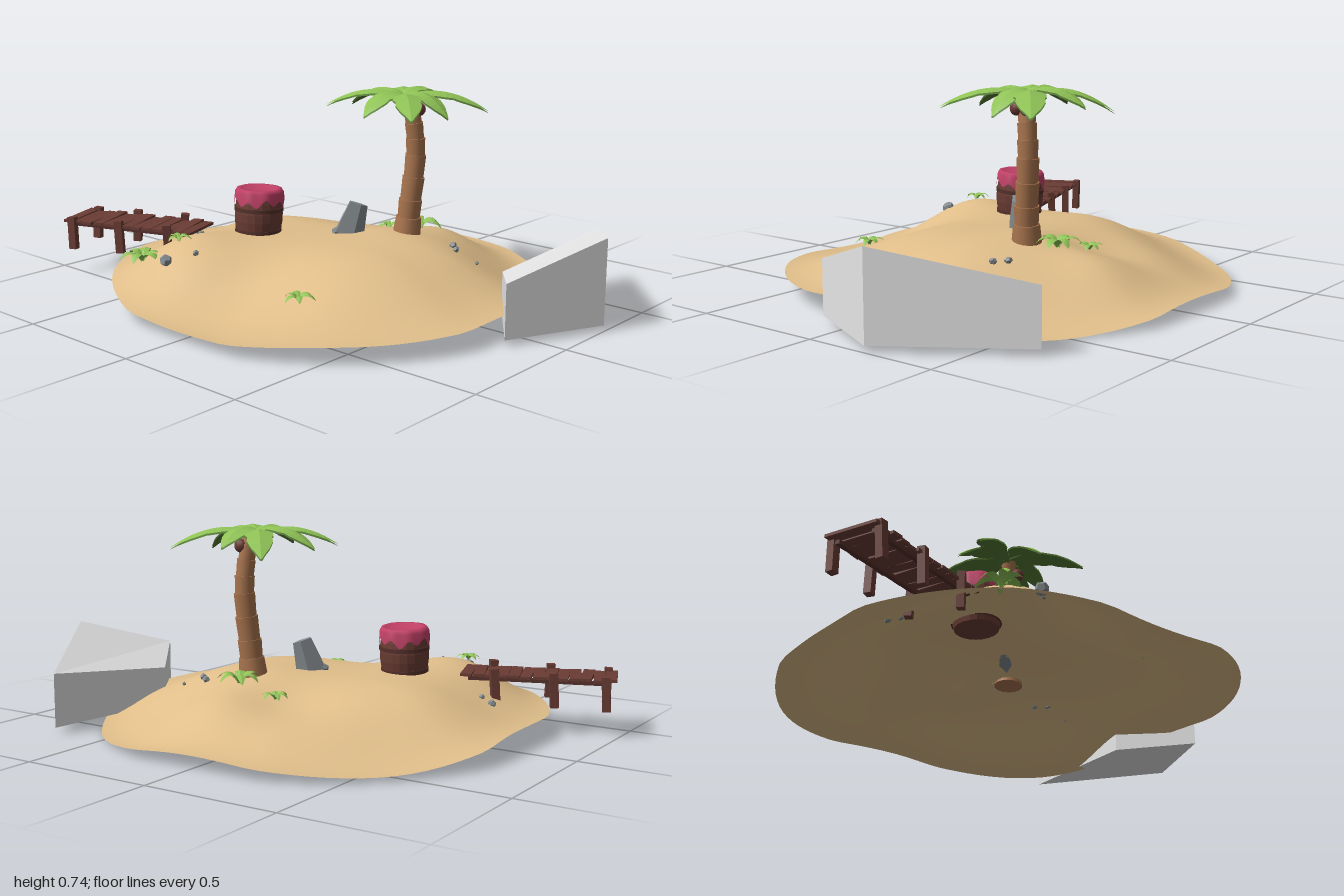
import * as THREE from 'three';
import { mergeVertices } from 'three/addons/utils/BufferGeometryUtils.js';

const mat = (name, color, side = THREE.FrontSide) => {
  const m = new THREE.MeshStandardMaterial({ color, side });
  m.name = name;
  return m;
};

// Give a geometry hard facets
function faceted(geo) {
  const g = geo.index ? geo.toNonIndexed() : geo;
  g.computeVertexNormals();
  return g;
}

// Surface from a grid of points, fn(row, column) in 0..1
function grid(rows, cols, fn) {
  const pos = [], idx = [];
  for (let i = 0; i <= rows; i++)
    for (let j = 0; j <= cols; j++) pos.push(...fn(i / rows, j / cols));
  for (let i = 0; i < rows; i++)
    for (let j = 0; j < cols; j++) {
      const a = i * (cols + 1) + j, c = a + cols + 1;
      idx.push(a, a + 1, c, a + 1, c + 1, c);
    }
  let g = new THREE.BufferGeometry();
  g.setAttribute('position', new THREE.Float32BufferAttribute(pos, 3));
  g.setIndex(idx);
  g = mergeVertices(g, 1e-5);
  g.computeVertexNormals();
  return g;
}

// Shape of the sand: rim height by direction, a broad dome, and soft bumps (x, z, height, spread)
const RIM = [0.05, 0.003, 0.078, 0.066, 0.036, 0.08, 0.08, 0.02];
const BUMPS = [[-0.47, -0.37, 0.085, 0.16], [0.06, -0.5, 0.025, 0.14], [-0.52, 0.1, -0.045, 0.17],
  [-0.15, 0.3, 0.012, 0.16], [0.2, 0.36, 0.014, 0.13], [0.18, 0.1, 0.012, 0.1],
  [0.36, -0.1, -0.042, 0.12], [0.52, 0.12, 0.03, 0.11]];
const rimRadius = (a) => Math.min(0.82, 0.785 / Math.max(Math.abs(Math.cos(a)), Math.abs(Math.sin(a))));
function sandHeight(x, z) {
  const a = (Math.atan2(z, x) + Math.PI * 2) % (Math.PI * 2);
  const k = a / (Math.PI / 4), i = Math.floor(k), f = (1 - Math.cos((k - i) * Math.PI)) / 2;
  const rim = RIM[i % 8] * (1 - f) + RIM[(i + 1) % 8] * f;
  const t = Math.min(1, Math.hypot(x, z) / rimRadius(a));
  let y = rim + (0.207 - rim) * (0.5 + 0.5 * Math.cos(Math.PI * t ** 1.7));
  for (const [bx, bz, h, s] of BUMPS)
    y += h * (1 - t ** 6) * Math.exp(-((x - bx) ** 2 + (z - bz) ** 2) / (2 * s * s));
  return y;
}

// Broad leaf growing along +x, gently folded along its midrib, with notched edges
function leafGeometry(len, width, rise, droop, notch, drop = 0) {
  return faceted(grid(12, 2, (u, v) => {
    const side = v * 2 - 1;
    const cut = Math.round(u * 12) % 4 === 3 ? 1 - notch : 1;
    const w = width * Math.sin(Math.PI * (0.1 + 0.89 * u ** 1.15)) ** 0.8 * cut;
    return [u * len, rise * u - droop * u * u - Math.abs(side) * w * 0.22 - drop, side * w];
  }));
}

export function createModel() {
  const root = new THREE.Group();
  const sand = mat('sand', 0xe0be8a, THREE.DoubleSide);
  const leafTop = mat('leaf green', 0x8fc256, THREE.DoubleSide);
  const leafUnder = mat('leaf underside green', 0x557a36, THREE.DoubleSide);
  const bark = mat('bark', 0xa8744e);
  const wood = mat('red brown wood', 0x6a3c34);
  const darkWood = mat('dark wood', 0x54302a);
  const cloth = mat('pink cloth', 0xc04066, THREE.DoubleSide);
  const stone = mat('stone', 0x868d90);
  const pale = mat('pale grey', 0xe6e6e6);

  const add = (parent, name, geo, material, x = 0, y = 0, z = 0) => {
    const m = new THREE.Mesh(geo, material);
    m.name = name;
    m.position.set(x, y, z);
    parent.add(m);
    return m;
  };
  const group = (name, x, y, z) => {
    const g = new THREE.Group();
    g.name = name;
    g.position.set(x, y, z);
    root.add(g);
    return g;
  };

  // Island sheet
  add(root, 'island', grid(32, 96, (u, v) => {
    const a = v * Math.PI * 2, r = u * rimRadius(a);
    const x = r * Math.cos(a), z = r * Math.sin(a);
    return [x, sandHeight(x, z), z - 0.006];
  }), sand);

  // Wedge block with a sloping top; corners are x, z, top height
  const corners = { '-1,1': [-0.11, 0.835, 0.217], '1,1': [0.235, 1.0, 0.33],
    '1,-1': [0.678, 0.705, 0.222], '-1,-1': [0.14, 0.65, 0.165] };
  const block = new THREE.BoxGeometry(2, 2, 2);
  const bp = block.attributes.position;
  for (let i = 0; i < bp.count; i++) {
    const [x, z, top] = corners[`${bp.getX(i)},${bp.getZ(i)}`];
    bp.setXYZ(i, x, bp.getY(i) > 0 ? top : 0.025, z);
  }
  add(root, 'block', faceted(block), pale);

  // Palm trunk: stacked segments that flare slightly at their tops
  const palm = group('palmTree', 0, 0, 0);
  const spine = new THREE.CatmullRomCurve3([[0.215, 0.2, 0.165], [0.222, 0.33, 0.175],
    [0.236, 0.5, 0.186], [0.228, 0.62, 0.182], [0.213, 0.725, 0.165]].map((p) => new THREE.Vector3(...p)));
  const SEG = 8, up = new THREE.Vector3(0, 1, 0);
  for (let i = 0; i < SEG; i++) {
    const a = spine.getPoint(i / SEG), b = spine.getPoint((i + 1) / SEG), d = b.clone().sub(a);
    const r = 0.047 - 0.018 * (i / (SEG - 1));
    const s = add(palm, 'trunkSegment', new THREE.CylinderGeometry(r, r * (i ? 0.94 : 1.15), d.length() + 0.006, 14), bark);
    s.position.copy(a.add(b).multiplyScalar(0.5));
    s.quaternion.setFromUnitVectors(up, d.normalize());
  }

  // Palm crown: tip x, tip z, half width
  const tips = [[0.06, -0.1, 0.048], [0.2, -0.095, 0.048], [0.44, -0.04, 0.05], [0.435, 0.13, 0.046],
    [0.4, 0.39, 0.056], [0.21, 0.35, 0.05], [-0.012, 0.36, 0.052], [-0.012, 0.145, 0.048]];
  tips.forEach(([x, z, w], i) => {
    const dx = x - 0.21, dz = z - 0.145, len = Math.hypot(dx, dz);
    const droop = 0.152 + 0.012 * (i % 3);
    for (const [name, m, drop] of [['palmLeaf', leafTop, 0], ['palmLeafUnderside', leafUnder, 0.007]]) {
      const l = add(palm, name, leafGeometry(len, w, 0.11, droop, 0.13, drop), m, 0.21, 0.722 + 0.004 * (i % 2), 0.145);
      l.rotation.y = Math.atan2(-dz, dx);
    }
  });
  for (const x of [0.195, 0.238])
    add(palm, 'coconut', new THREE.SphereGeometry(0.026, 14, 10), wood, x, 0.672, 0.195);

  // Small ground plants: x, z, radius
  for (const [x, z, r] of [[-0.54, -0.465, 0.088], [-0.445, -0.37, 0.05], [-0.465, 0.25, 0.06],
    [0.35, -0.03, 0.055], [0.33, 0.14, 0.088]]) {
    const plant = group('groundPlant', x, sandHeight(x, z) + 0.006, z);
    for (let i = 0; i < 6; i++) {
      const l = add(plant, 'plantLeaf', leafGeometry(r * (i % 2 ? 1 : 0.88), r * 0.2, r * 1.6, r * 1.5, 0), leafTop);
      l.rotation.y = i * Math.PI / 3 + x * 5 + 0.15 * (i % 2);
    }
  }

  // Stones: x, z, radius
  for (const [x, z, r] of [[-0.14, -0.62, 0.016], [-0.15, -0.575, 0.012], [-0.555, -0.315, 0.025],
    [-0.48, -0.24, 0.012], [0.235, 0.38, 0.014], [0.27, 0.34, 0.015], [0.24, 0.47, 0.008], [0.02, -0.015, 0.018]]) {
    const s = add(root, 'smallStone', new THREE.DodecahedronGeometry(r), stone, x, sandHeight(x, z) + r * 0.4, z);
    s.rotation.set(x * 9, z * 7, 0.4);
    s.scale.y = 0.85;
  }

  // Leaning slab of rock, broad along the diagonal
  const slab = add(root, 'standingRock', faceted(new THREE.CylinderGeometry(0.036, 0.058, 0.125, 5)), stone, 0.062, 0.262, 0.03);
  slab.scale.set(0.42, 1, 1.05);
  slab.rotation.set(0.3, 0.785, 0, 'YXZ');

  // Barrel with hoops
  const barrel = group('barrel', -0.145, 0.19, -0.262);
  barrel.rotation.z = -0.05;
  const profile = [[0, -0.004], [0.078, -0.004], [0.084, 0.02], [0.09, 0.06], [0.091, 0.09], [0.087, 0.13], [0.08, 0.165], [0, 0.165]];
  add(barrel, 'barrelBody', faceted(new THREE.LatheGeometry(profile.map((p) => new THREE.Vector2(...p)), 20)), wood);
  for (const [y, r] of [[0.022, 0.085], [0.105, 0.09]])
    add(barrel, 'barrelHoop', new THREE.CylinderGeometry(r + 0.003, r + 0.003, 0.014, 20), darkWood, 0, y, 0);

  // Cloth cover with a raised rim and wavy hem
  const fold = [[0, 0.169], [0.06, 0.171], [0.068, 0.181], [0.083, 0.181], [0.091, 0.168], [0.094, 0.132]];
  add(barrel, 'clothCover', grid(5, 60, (u, v) => {
    const k = Math.round(u * 5), a = v * Math.PI * 2, wave = Math.cos(a * 9) + 0.5 * Math.sin(a * 4);
    const r = fold[k][0] + (k > 2 ? 0.0012 * wave : 0);
    return [r * Math.cos(a), fold[k][1] + (k === 5 ? 0.012 * wave : 0), r * Math.sin(a)];
  }), cloth);

  // Jetty: uneven planks on two beams and three pairs of posts
  const jetty = group('jetty', -0.362, 0, -0.712);
  jetty.rotation.y = 0.343;
  const PLANKS = 13;
  for (let i = 0; i < PLANKS; i++) {
    const wob = Math.sin(i * 2.4), wob2 = Math.sin(i * 4.1 + 1);
    const p = add(jetty, 'plank', new THREE.BoxGeometry(0.186 + 0.01 * wob2, 0.01, 0.041), wood,
      0.005 * wob, 0.206 + 0.002 * wob2, -0.246 + i * 0.512 / (PLANKS - 1));
    p.rotation.y = 0.04 * wob;
    p.rotation.z = 0.015 * wob2;
  }
  for (const side of [-1, 1]) {
    add(jetty, 'beam', new THREE.BoxGeometry(0.016, 0.014, 0.5), darkWood, side * 0.068, 0.193, 0.01);
    [-0.23, -0.035, 0.175].forEach((z, i) => {
      const post = add(jetty, 'post', new THREE.BoxGeometry(0.026, 0.125, 0.03), wood,
        side * 0.09, 0.16 + 0.005 * i, z - (i ? side * 0.013 : 0));
      post.rotation.set(0.05 * side, 0.2 * i, 0.04 * (i - 1));
    });
  }
  return root;
}
